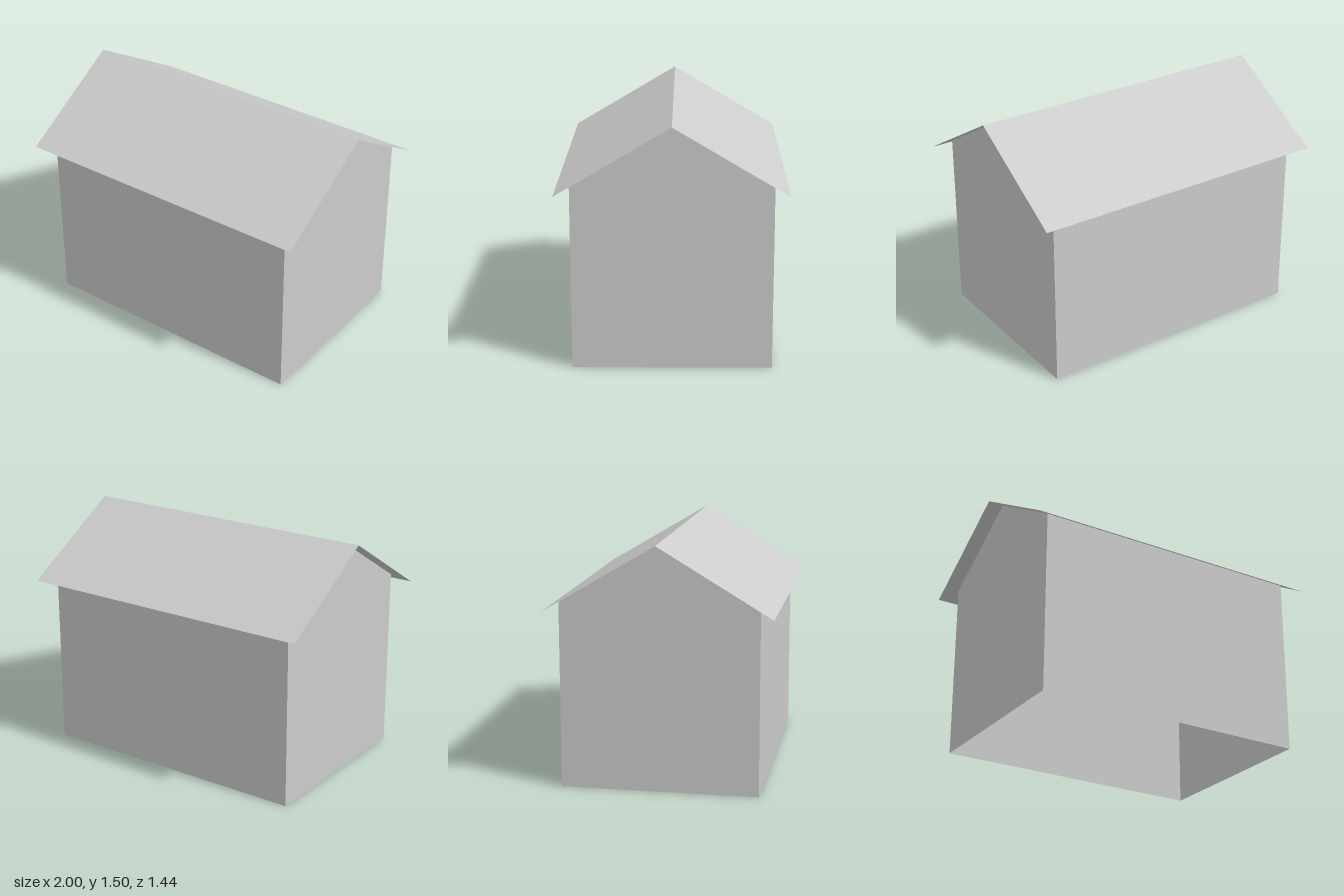
import * as THREE from 'three';

export function createModel() {
  const model = new THREE.Group();
  const house = new THREE.Group();
  house.name = 'house';
  house.rotation.y = 0.031; // the house sits slightly turned
  model.add(house);

  const grey = new THREE.MeshStandardMaterial({ color: 0xcccccc, side: THREE.DoubleSide });
  grey.name = 'plain grey';

  const ridge = 1.5, eave = 1.09;
  const roofX = 0.978, roofZ = 0.688; // half sizes of the roof
  const wallX = 0.88, wallZ = 0.6; // half sizes of the walls
  const pitch = Math.atan2(ridge - eave, roofZ);
  const wallTop = ridge - wallZ * Math.tan(pitch);

  const add = (name, geometry) => {
    const mesh = new THREE.Mesh(geometry, grey);
    mesh.name = name;
    house.add(mesh);
    return mesh;
  };

  // Long walls and roof slopes, front and back
  for (const [side, turn] of [['front', 0], ['back', Math.PI]]) {
    const wall = new THREE.PlaneGeometry(2 * wallX, wallTop);
    wall.translate(0, wallTop / 2, wallZ).rotateY(turn);
    add(side + 'Wall', wall);

    const length = Math.hypot(ridge - eave, roofZ);
    const slope = new THREE.PlaneGeometry(2 * roofX, length);
    slope.translate(0, -length / 2, 0).rotateX(pitch - Math.PI / 2);
    slope.translate(0, ridge, 0).rotateY(turn);
    add(side + 'Roof', slope);
  }

  // End walls with gables reaching the ridge
  const outline = new THREE.Shape([
    [-wallZ, 0], [wallZ, 0], [wallZ, wallTop], [0, ridge], [-wallZ, wallTop],
  ].map(([x, y]) => new THREE.Vector2(x, y)));
  for (const [side, s] of [['left', 1], ['right', -1]]) {
    const gable = new THREE.ShapeGeometry(outline);
    gable.translate(0, 0, wallX).rotateY(s * Math.PI / 2);
    add(side + 'GableWall', gable);
  }
  return model;
}
